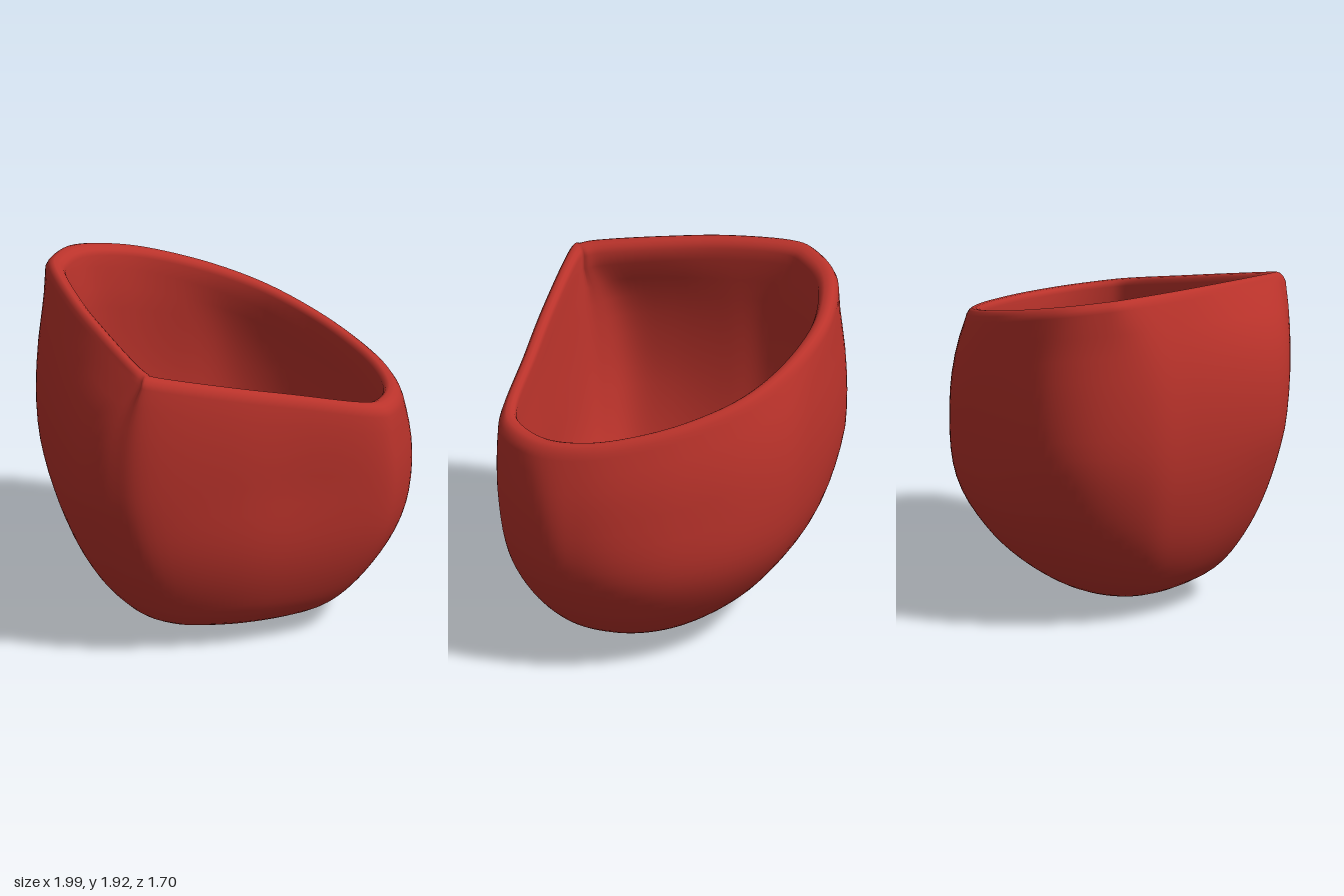
import * as THREE from 'three';
import { mergeVertices } from 'three/addons/utils/BufferGeometryUtils.js';

const v2 = (pairs) => pairs.map(([a, b]) => new THREE.Vector2(a, b));
const closed = (pairs) =>
  new THREE.CatmullRomCurve3(pairs.map(([x, z]) => new THREE.Vector3(x, 0, z)), true, 'catmullrom', 0.5);

// Plan of the lip, starting at the front corner and turning towards +x
const rimPlan = closed([
  [-0.43, 0.84], [0, 0.745], [0.36, 0.645], [0.76, 0.535], [0.89, 0.42], [0.945, 0.2], [0.885, -0.05],
  [0.745, -0.28], [0.545, -0.5], [0.28, -0.69], [0, -0.785], [-0.3, -0.805], [-0.55, -0.76],
  [-0.79, -0.63], [-0.91, -0.45], [-0.935, -0.28], [-0.84, 0.08], [-0.71, 0.4], [-0.57, 0.7], [-0.5, 0.81],
]);
// Plan of the swollen belly, matching the lip point for point
const bodyPlan = closed([
  [-0.44, 0.85], [0, 0.77], [0.36, 0.67], [0.8, 0.55], [0.93, 0.41], [1, 0.15], [0.95, -0.05],
  [0.84, -0.27], [0.66, -0.5], [0.4, -0.72], [0.1, -0.85], [-0.2, -0.85], [-0.5, -0.81],
  [-0.75, -0.71], [-0.92, -0.5], [-1, -0.18], [-0.96, 0.08], [-0.88, 0.45], [-0.79, 0.7], [-0.64, 0.81],
]);
// Least and greatest x and z of the belly at heights (0.2 k) squared
const xRange = new THREE.SplineCurve(v2([
  [0.08, 0.08], [-0.32, 0.34], [-0.59, 0.61], [-0.77, 0.81], [-0.9, 0.96], [-0.985, 1], [-1, 0.965], [-0.96, 0.87],
]));
const zRange = new THREE.SplineCurve(v2([
  [0.07, 0.07], [-0.19, 0.3], [-0.41, 0.52], [-0.62, 0.655], [-0.785, 0.755], [-0.845, 0.81], [-0.848, 0.845], [-0.8, 0.85],
]));

const rimHeight = (x) => 1.657 - 0.29 * x;
const mix = THREE.MathUtils.lerp;

// Outer wall point: a = way round, s = 0 at the bottom to 1 at the lip
function outer(a, s) {
  const rim = rimPlan.getPoint(a), body = bodyPlan.getPoint(a);
  const y = s * s * (rimHeight(rim.x) - 0.06);
  const t = Math.sqrt(y) / 1.4;
  const xr = xRange.getPoint(t), zr = zRange.getPoint(t);
  // the plan becomes rounder towards the bottom, most of all at the back
  let nx = body.x, nz = body.z / 0.85;
  const len = Math.hypot(nx, nz);
  const round = (0.75 - 0.25 * nz) * THREE.MathUtils.clamp(1 - y / 1.0, 0, 1);
  nx = mix(nx, nx / len, round);
  nz = mix(nz, nz / len, round);
  // the wall draws in to the lip only near the top
  const w = s ** 15;
  return new THREE.Vector3(
    mix(mix(xr.x, xr.y, (nx + 1) / 2), rim.x, w), y,
    mix(mix(zr.x, zr.y, (nz + 1) / 2), rim.z, w));
}

// Lip point: the plan shrunk by k, lowered by drop below the slanting rim
function lip(a, k, drop) {
  const p = rimPlan.getPoint(a);
  return new THREE.Vector3(p.x * k, rimHeight(p.x * k) - drop, p.z * k);
}

// Inner wall point, the outer wall shrunk and raised to leave a thick floor
function inner(a, s) {
  const p = outer(a, s), top = rimHeight(p.x);
  const k = mix(0.845, 0.885, s ** 15);
  return new THREE.Vector3(p.x * k, 0.14 + p.y * (top - 0.22) / top, p.z * k);
}

function shellGeometry() {
  const around = 120, rows = [];
  for (let k = 0; k <= 28; k++) rows.push((a) => outer(a, k / 28));
  [[0.987, 0.03], [0.97, 0.01], [0.95, 0], [0.92, 0.004], [0.9, 0.016], [0.887, 0.04]]
    .forEach(([k, drop]) => rows.push((a) => lip(a, k, drop)));
  for (let k = 24; k >= 0; k--) rows.push((a) => inner(a, k / 24));

  const positions = [], index = [], last = rows.length - 2;
  rows.forEach((row, r) => {
    for (let i = 0; i < around; i++) {
      positions.push(...row(i / around).toArray());
      const a = r * around + i, b = r * around + (i + 1) % around;
      const c = a + around, d = b + around;
      // the first and last rows are single points, so they take one triangle
      if (r === 0) index.push(a, d, c);
      else if (r < last) index.push(a, b, d, a, d, c);
      else if (r === last) index.push(a, b, c);
    }
  });
  const g = new THREE.BufferGeometry();
  g.setAttribute('position', new THREE.Float32BufferAttribute(positions, 3));
  g.setIndex(index);
  const merged = mergeVertices(g, 1e-5);
  merged.computeVertexNormals();
  return merged;
}

export function createModel() {
  const group = new THREE.Group();
  group.name = 'slantedPot';
  const red = new THREE.MeshStandardMaterial({ color: 0xbb332b });
  red.name = 'red';
  const shell = new THREE.Mesh(shellGeometry(), red);
  shell.name = 'potShell';
  group.add(shell);
  return group;
}
